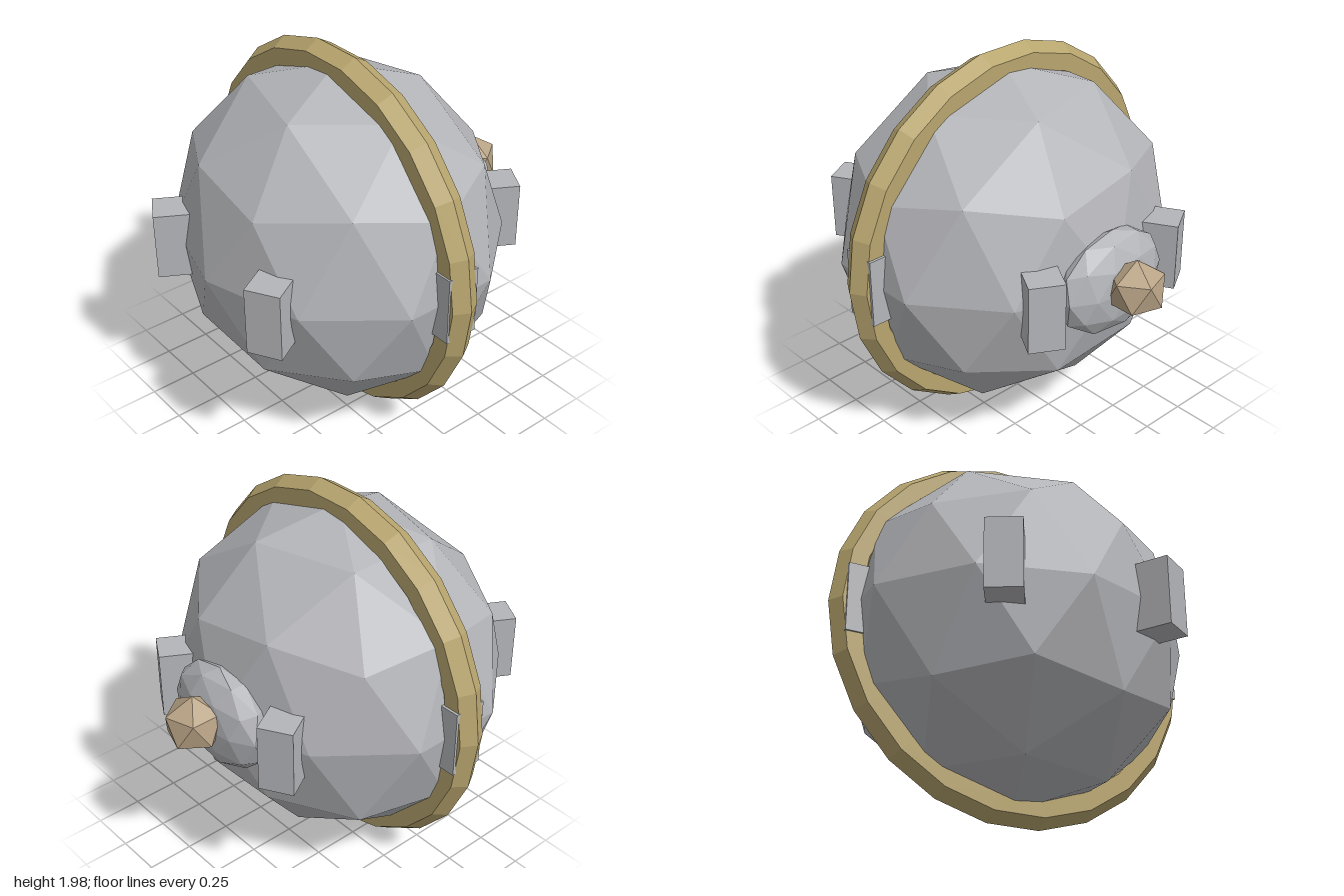
import * as THREE from 'three';

const mat = (name, color) => {
  const m = new THREE.MeshStandardMaterial({ color, flatShading: true });
  m.name = name;
  return m;
};

// Icosphere turned so that one vertex points straight up, scaled per axis
function icosphere(rx, ry, rz, detail) {
  const g = new THREE.IcosahedronGeometry(1, detail);
  g.rotateZ(-Math.atan(2 / (1 + Math.sqrt(5))));
  g.scale(rx, ry, rz);
  g.computeVertexNormals();
  return g;
}

export function createModel() {
  const model = new THREE.Group();
  model.name = 'pod';
  const grey = mat('hull grey', 0xb4b5b9);
  const gold = mat('ring gold', 0xb9a66f);
  const tan = mat('nozzle tan', 0xb8a385);
  const CY = 0.99, CZ = 0.105;

  const add = (name, geometry, material, x, y, z) => {
    const m = new THREE.Mesh(geometry, material);
    m.name = name;
    m.position.set(x, y, z);
    model.add(m);
    return m;
  };

  // Faceted hull, slightly flattened front to back
  add('hull', icosphere(0.91, 0.91, 0.817, 1), grey, 0, CY, CZ);

  // Upright ring with a hexagonal section
  const ring = new THREE.TorusGeometry(0.91, 0.09, 6, 22).toNonIndexed();
  ring.computeVertexNormals();
  add('ring', ring, gold, 0, CY, CZ + 0.002);

  // Six blocks evenly spaced around the waist, sunk into the hull
  for (let i = 0; i < 6; i++) {
    const a = (i * Math.PI) / 3;
    const r = 0.81;
    const block = add('waistBlock' + (i + 1), new THREE.BoxGeometry(0.25, 0.36, 0.18), grey,
      Math.cos(a) * r, CY + 0.003, CZ + Math.sin(a) * r);
    block.rotation.y = -a;
  }

  // Rear dome and the nozzle on it
  add('rearDome', icosphere(0.336, 0.277, 0.14, 1), grey, 0, 0.995, -0.66);
  add('nozzle', icosphere(0.155, 0.155, 0.14 / 0.9, 0), tan, 0, 1.025, -0.83);

  return model;
}
